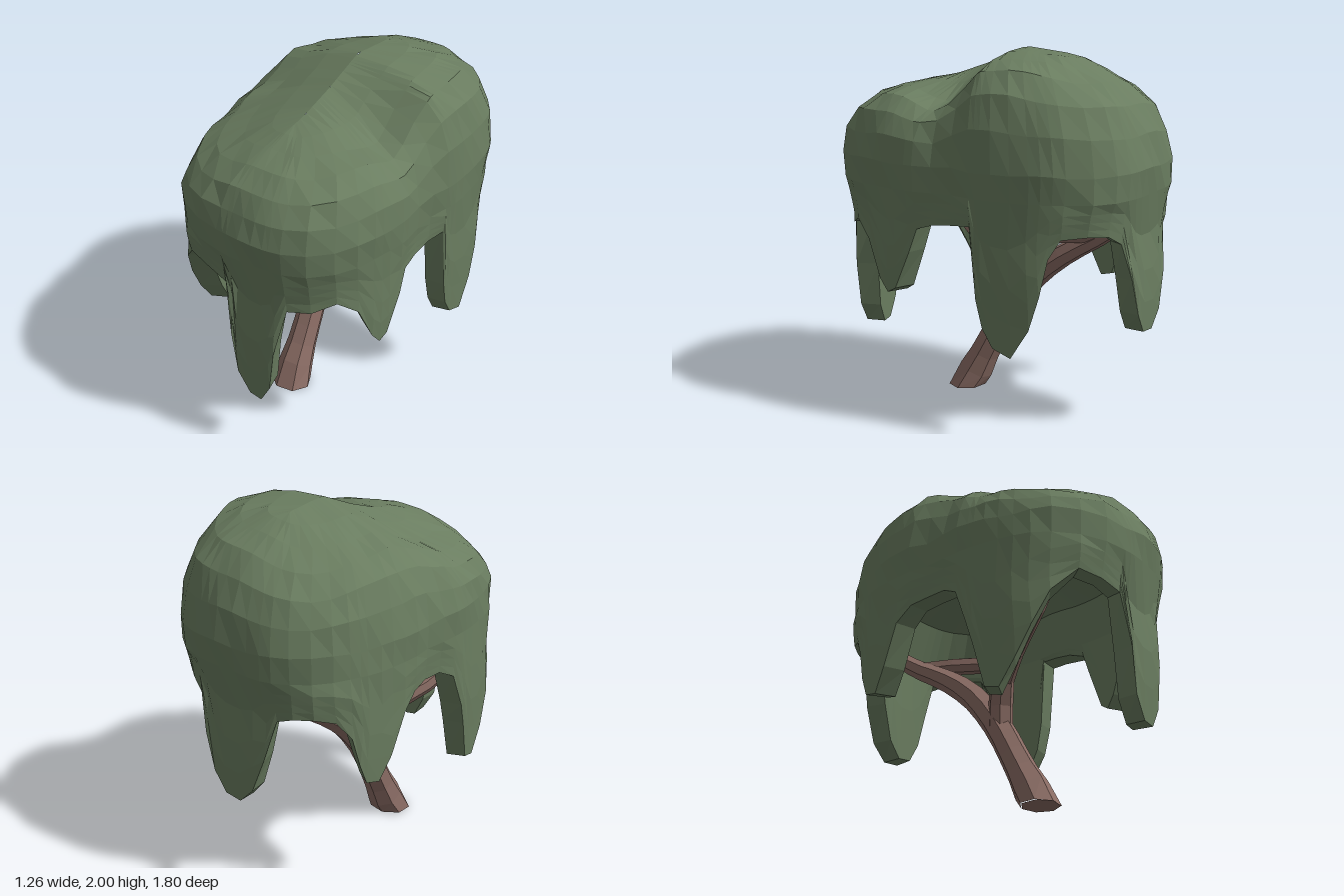
import * as THREE from 'three';

const leafMat = new THREE.MeshStandardMaterial({ color: 0x6a7d60 });
leafMat.name = 'leaf green';
const barkMat = new THREE.MeshStandardMaterial({ color: 0x8b6d65 });
barkMat.name = 'bark brown';

const { smoothstep, degToRad } = THREE.MathUtils;

// Bottom edge of the foliage: angle from the front (degrees, towards +x), height
const HEM = [
  [-4, 1.05], [-1, 0.75], [1, 0.5], [6, 0.38], [11, 0.37], [15, 0.48], [17, 0.73], [21, 1.02],
  [29, 1.02], [38, 1.07], [46, 0.98], [53, 0.78], [57, 0.71], [61, 0.74], [68, 0.95], [72, 1.08],
  [81, 1.11], [92, 1.12], [102, 1.13], [105, 0.75], [108, 0.6], [113, 0.5], [121, 0.46], [128, 0.62],
  [132, 0.8], [136, 1], [140, 1.1], [149, 1.11], [157, 1.1], [163, 1.05], [167, 0.85], [171, 0.65],
  [176, 0.54], [183, 0.53], [189, 0.62], [194, 0.82], [198, 1.05], [204, 1.08], [211, 1.08],
  [218, 1.05], [224, 0.95], [228, 0.78], [231, 0.67], [237, 0.65], [243, 0.78], [250, 1],
  [258, 1.08], [268, 1.1], [279, 1.1], [288, 1.05], [294, 0.85], [297, 0.72], [302, 0.48],
  [308, 0.46], [314, 0.6], [320, 0.77], [327, 0.95], [337, 1.09], [347, 1.08],
];

// Height of the crown along z, and wall widths by height
const RIDGE = [[-0.9, 1.87], [-0.6, 1.92], [-0.4, 1.975], [-0.13, 2.0], [0.1, 1.9], [0.3, 1.83], [0.6, 1.77], [0.9, 1.74]];
const FLARE_X = [[0.4, 0.94], [0.9, 0.975], [1.1, 0.965], [1.28, 0.985]];
const FLARE_Z = [[0.37, 0.955], [0.6, 0.97], [0.8, 0.97], [1.05, 0.935], [1.28, 0.975]];

function lerpTable(table, v) {
  for (let i = 1; i < table.length; i++) {
    const [a, ya] = table[i - 1], [b, yb] = table[i];
    if (v <= b) return ya + (yb - ya) * Math.max(0, (v - a) / (b - a));
  }
  return table[table.length - 1][1];
}
function crownHeight(x, z) {
  const dip = 0.16 * Math.exp(-(((z - 0.12) / 0.19) ** 2)) * smoothstep(x, 0.03, 0.42);
  return lerpTable(RIDGE, z) - dip - 0.11 * smoothstep(-x, -0.08, 0.42);
}

// Point on the rounded-rectangle outline, slightly waisted between the two lobes
function outline(deg, scaleX, scaleZ) {
  const a = degToRad(deg), sx = Math.sin(a), cz = Math.cos(a);
  const r = 1 / Math.cbrt(Math.abs(sx / 0.64) ** 3 + Math.abs(cz / 0.893) ** 3);
  const waist = 1 - 0.05 * Math.exp(-(((r * cz - 0.03) / 0.14) ** 2));
  return [r * sx * scaleX * waist, r * cz * scaleZ];
}

function flat(geometry) {
  const g = geometry.index ? geometry.toNonIndexed() : geometry;
  g.computeVertexNormals();
  return g;
}

// Closed shell: dome, outer wall, hanging fronds, then the hollow inside
function foliageGeometry() {
  const WALL = 1.42, SKIRT = 1.28;
  const dome = [[0, 1], [0.3, 0.995], [0.54, 0.965], [0.74, 0.89], [0.88, 0.69], [0.96, 0.38], [1, 0]];
  const drop = [0.3, 0.55, 0.78, 1];
  const columns = HEM.map(([deg, hem]) => {
    const pts = [];
    const add = (sx, sz, y) => {
      const [x, z] = outline(deg, sx, sz);
      pts.push(new THREE.Vector3(x, y, z));
    };
    const a = degToRad(deg);
    const wob = (k) => 0.006 * Math.sin(a * 9 + k * 2.1) + 0.004 * Math.sin(a * 17 + k);
    // the corners on the -x side slope in above the skirt
    const corner = Math.sin(a) < 0 ? 0.05 * Math.sin(2 * a) ** 2 : 0;
    // dome rows close on a ridge line along z, leaning towards +x
    dome.forEach(([s, f], k) => {
      const w = wob(k) * s, tuck = 1 - corner * s * (1 - f);
      const [ox, z] = outline(deg, (s + w) * tuck, (s + 0.42 * (1 - s) ** 2 + w) * tuck);
      const x = ox + 0.025 * f;
      pts.push(new THREE.Vector3(x, WALL + (crownHeight(x, z) - WALL) * f + w, z));
    });
    const skirt = 0.985 + wob(7) - corner * 0.6;
    add(skirt, skirt, SKIRT);
    drop.forEach((t, k) => {
      const w = wob(8 + k * 0.4) * 0.7, y = SKIRT + (hem - SKIRT) * t;
      add(lerpTable(FLARE_X, y) + w, lerpTable(FLARE_Z, y) + w, y);
    });
    // inside faces
    add(0.79, 0.84, hem);
    add(0.78, 0.83, (1.15 + hem) / 2);
    add(0.77, 0.83, 1.15);
    add(0.7, 0.73, 1.38);
    add(0.45, 0.45, 1.48);
    add(0, 0, 1.5);
    return pts;
  });
  const pos = [];
  const tri = (...v) => v.forEach((p) => pos.push(p.x, p.y, p.z));
  const rows = columns[0].length;
  columns.forEach((left, j) => {
    const right = columns[(j + 1) % columns.length];
    for (let i = 0; i < rows - 1; i++) {
      if (i < rows - 2) tri(left[i], left[i + 1], right[i + 1]);
      tri(left[i], right[i + 1], right[i]);
    }
  });
  const g = new THREE.BufferGeometry();
  g.setAttribute('position', new THREE.Float32BufferAttribute(pos, 3));
  return flat(g);
}

// Tapered limb along a path; radii are spread evenly from start to end
function limb(name, path, radii, segments, grounded = false) {
  const SIDES = 7;
  const curve = new THREE.CatmullRomCurve3(path.map((p) => new THREE.Vector3(...p)));
  const g = new THREE.TubeGeometry(curve, segments, 1, SIDES);
  const table = radii.map((r, i) => [i / (radii.length - 1), r]);
  const p = g.attributes.position, v = new THREE.Vector3();
  for (let i = 0; i <= segments; i++) {
    const c = curve.getPointAt(i / segments), r = lerpTable(table, i / segments);
    for (let k = 0; k <= SIDES; k++) {
      const n = i * (SIDES + 1) + k;
      v.fromBufferAttribute(p, n).sub(c).multiplyScalar(r).add(c);
      if (grounded) v.y = i === 0 ? 0 : Math.max(v.y, 0.02);
      p.setXYZ(n, v.x, v.y, v.z);
    }
  }
  const mesh = new THREE.Mesh(flat(g), barkMat);
  mesh.name = name;
  return mesh;
}

export function createModel() {
  const tree = new THREE.Group();
  tree.name = 'weepingTree';

  const foliage = new THREE.Mesh(foliageGeometry(), leafMat);
  foliage.name = 'foliage';
  tree.add(foliage);

  // Leaning trunk running on into the back branch
  tree.add(limb('trunk', [
    [-0.09, 0, 0.32], [-0.095, 0.1, 0.265], [-0.1, 0.25, 0.185], [-0.11, 0.5, 0.05],
    [-0.11, 0.7, -0.11], [-0.11, 0.85, -0.3], [-0.11, 1.0, -0.55], [-0.11, 1.17, -0.78],
  ], [0.12, 0.087, 0.08, 0.078, 0.076, 0.07, 0.062, 0.055, 0.05, 0.045], 14, true));
  const base = new THREE.Mesh(flat(new THREE.CircleGeometry(0.105, 7)), barkMat);
  base.name = 'trunkBase';
  base.rotation.x = Math.PI / 2;
  base.position.set(-0.09, 0.002, 0.32);
  tree.add(base);

  // Branches
  tree.add(limb('uprightBranch', [
    [-0.11, 0.46, 0.07], [-0.13, 0.62, 0.09], [-0.19, 0.78, 0.16], [-0.25, 1.0, 0.24], [-0.28, 1.48, 0.34],
  ], [0.07, 0.065, 0.058, 0.045, 0.035], 8));
  tree.add(limb('frontBranch', [
    [-0.16, 0.72, 0.13], [-0.24, 0.79, 0.26], [-0.32, 0.87, 0.42], [-0.35, 0.98, 0.54], [-0.34, 1.22, 0.66],
  ], [0.06, 0.05, 0.045, 0.035], 8));
  tree.add(limb('hookBranch', [
    [-0.11, 0.99, -0.53], [-0.03, 0.98, -0.32], [0.06, 0.97, -0.13], [0.1, 1.01, -0.04], [0.1, 1.15, -0.03], [0.1, 1.5, -0.03],
  ], [0.045, 0.048, 0.048, 0.045, 0.04], 10));
  return tree;
}
